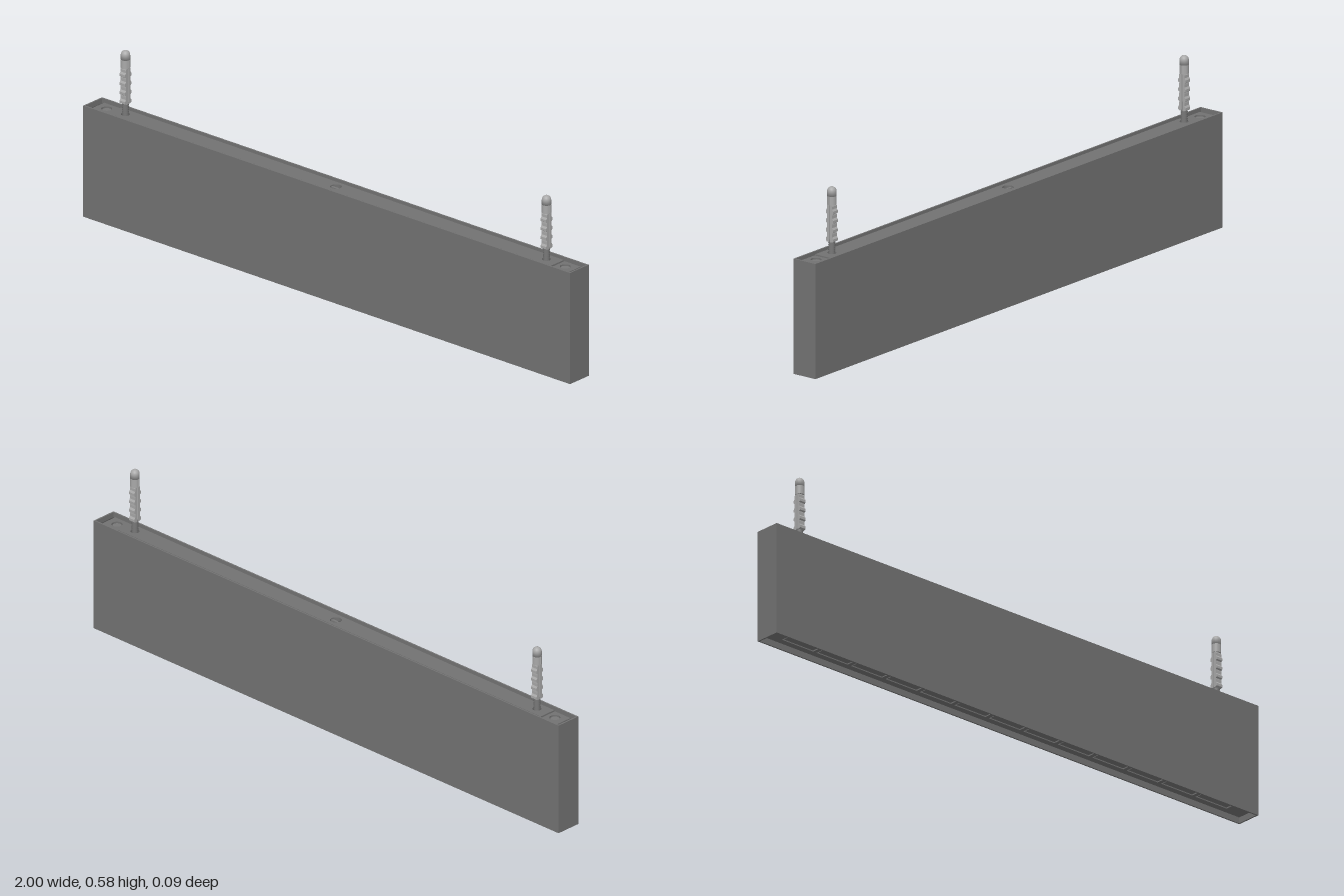
import * as THREE from 'three';

const mat = (name, color) => {
  const m = new THREE.MeshStandardMaterial({ color });
  m.name = name;
  return m;
};

// Rectangle centred on (x, y), used as an outline or as a hole
function rect(target, w, h, x = 0, y = 0) {
  target.moveTo(x - w / 2, y - h / 2);
  target.lineTo(x + w / 2, y - h / 2);
  target.lineTo(x + w / 2, y + h / 2);
  target.lineTo(x - w / 2, y + h / 2);
  target.closePath();
  return target;
}

const circle = (r, x) => new THREE.Path().absarc(x, 0, r, 0, Math.PI * 2, true);

// Flat outline in the xz plane, extruded upwards from y
function slab(shape, y, height) {
  const g = new THREE.ExtrudeGeometry(shape, { depth: height, bevelEnabled: false, curveSegments: 20 });
  g.rotateX(-Math.PI / 2);
  g.translate(0, y, 0);
  return g;
}

export function createModel() {
  const body = mat('body grey', 0x727272);
  const dark = mat('dark grey', 0x444444);
  const plug = mat('plug grey', 0xa8a8a8);
  const steel = mat('screw grey', 0x787878);

  const model = new THREE.Group();
  const add = (name, geometry, material, parent = model) => {
    const mesh = new THREE.Mesh(geometry, material);
    mesh.name = name;
    parent.add(mesh);
    return mesh;
  };

  const H = 0.373, D = 0.088;

  // Rectangular sleeve, open above and below
  const sleeve = rect(new THREE.Shape(), 2, D);
  sleeve.holes.push(rect(new THREE.Path(), 1.99, D - 0.01));
  add('housing', slab(sleeve, 0, H), body);

  // Inner core closes the sleeve behind the slots and the mounting rail
  const core = new THREE.BoxGeometry(1.99, 0.33, D - 0.01);
  core.translate(0, 0.191, 0);
  add('innerCore', core, dark);

  // Mounting rail recessed in the top, with fixing and cable holes
  const rail = rect(new THREE.Shape(), 1.82, 0.06);
  rail.holes.push(circle(0.018, 0), circle(0.014, -0.865), circle(0.014, 0.865));
  add('mountingRail', slab(rail, 0.356, 0.012), body);
  const bar = new THREE.BoxGeometry(0.034, 0.006, 0.008);
  bar.translate(0, 0.361, 0);
  add('cableClamp', bar, steel);

  // Separate end plates, each with a screw sunk in a round hole
  for (const s of [-1, 1]) {
    const end = rect(new THREE.Shape(), 0.066, 0.06, s * 0.946);
    end.holes.push(circle(0.017, s * 0.942));
    add(s > 0 ? 'leftEndPlate' : 'rightEndPlate', slab(end, 0.355, 0.01), body);
    const head = new THREE.CylinderGeometry(0.0145, 0.0145, 0.01, 20);
    head.translate(s * 0.942, 0.356, 0);
    add('endScrew', head, steel);
  }

  // Recessed light panel underneath with a row of slots, a lens in each
  const panel = rect(new THREE.Shape(), 1.99, D - 0.01);
  const count = 13, pitch = 1.86 / count;
  for (let i = 0; i < count; i++) {
    const x = (i - (count - 1) / 2) * pitch;
    panel.holes.push(rect(new THREE.Path(), pitch - 0.014, 0.034, x));
    const lens = new THREE.BoxGeometry(pitch - 0.022, 0.008, 0.026);
    lens.translate(x, 0.025, 0);
    add('lens', lens, body);
  }
  add('lightPanel', slab(panel, 0.02, 0.006), body);

  // Screw: pointed shaft with thread ridges
  const thread = [new THREE.Vector2(0, 0.35)];
  for (let y = 0.35; y < 0.408; y += 0.006) {
    thread.push(new THREE.Vector2(0.0085, y), new THREE.Vector2(0.0115, y + 0.003));
  }
  thread.push(new THREE.Vector2(0.0075, 0.412), new THREE.Vector2(0.0065, 0.52), new THREE.Vector2(0, 0.545));
  const screwGeometry = new THREE.LatheGeometry(thread, 14);

  // Barbed half of the plug: side profile (z, y), extruded along x
  const half = new THREE.Shape();
  half.moveTo(0.002, 0.405);
  for (let i = 0; i < 4; i++) {
    const y = 0.405 + i * 0.03;
    half.lineTo(0.01, y);
    half.lineTo(0.0148, y + 0.003);
    half.lineTo(0.0148, y + 0.011);
    half.lineTo(0.0105, y + 0.017);
    half.lineTo(0.0105, y + 0.026);
  }
  half.lineTo(0.006, 0.53);
  half.lineTo(0.002, 0.53);
  half.closePath();
  const width = 0.023;
  const halfGeometry = new THREE.ExtrudeGeometry(half, { depth: width, bevelEnabled: false });
  halfGeometry.translate(0, 0, -width / 2);
  halfGeometry.rotateY(-Math.PI / 2);

  // Rounded cap, its lower part split by a narrow slit across the plug
  const R = 0.0148;
  const tip = [new THREE.Vector2(0, 0.553), new THREE.Vector2(R, 0.553)];
  for (let i = 0; i <= 6; i++) {
    const a = (i / 6) * Math.PI / 2;
    tip.push(new THREE.Vector2(R * Math.cos(a), 0.568 + 0.015 * Math.sin(a)));
  }
  const tipGeometry = new THREE.LatheGeometry(tip, 20);
  const slit = 0.12;
  const skirt = new THREE.Shape().absarc(0, 0, R, slit, Math.PI - slit, false);
  const skirtGeometry = slab(skirt, 0.525, 0.028);

  for (const s of [-1, 1]) {
    const anchor = new THREE.Group();
    anchor.name = s > 0 ? 'leftAnchor' : 'rightAnchor';
    anchor.position.x = s * 0.865;
    add('screw', screwGeometry, steel, anchor);
    add('plugTip', tipGeometry, plug, anchor);
    for (const turn of [0, Math.PI]) {
      add('plugBarbs', halfGeometry, plug, anchor).rotation.y = turn;
      add('plugSkirt', skirtGeometry, plug, anchor).rotation.y = turn;
    }
    model.add(anchor);
  }

  return model;
}
